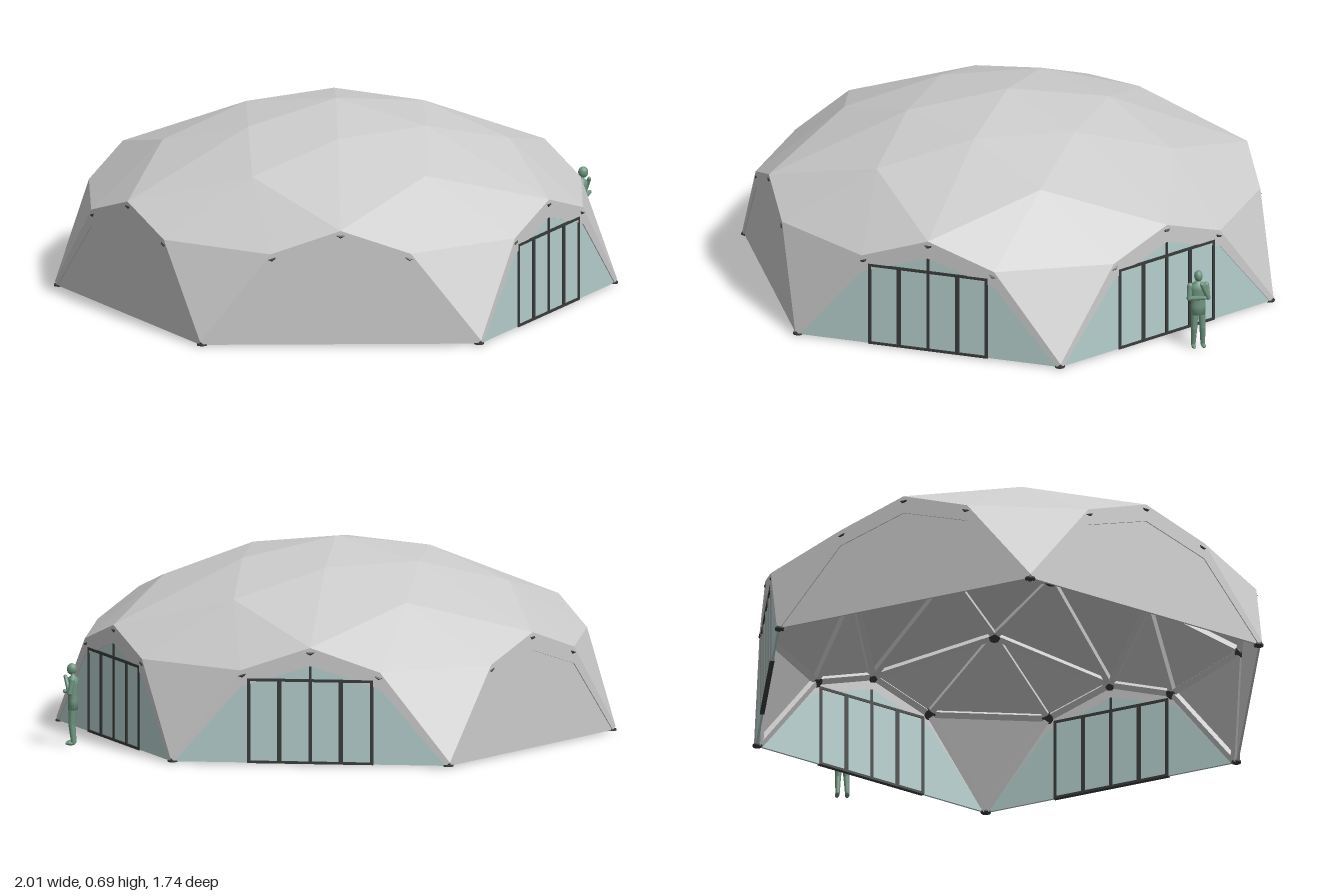
import * as THREE from 'three';

const mat = (color, extra = {}) => new THREE.MeshStandardMaterial({ color, ...extra });
const grey = mat(0xcccccc);
const shellMat = mat(0xcccccc, { side: THREE.DoubleSide, flatShading: true });
const glass = mat(0xb5cfcd);
const dark = mat(0x3a3c3c);
const green = mat(0x6f9580);

const CENTRE = new THREE.Vector3(0, -0.4, 0);
const INRADIUS = 0.866;

function add(parent, name, geometry, material, x = 0, y = 0, z = 0) {
  const mesh = new THREE.Mesh(geometry, material);
  mesh.name = name;
  mesh.position.set(x, y, z);
  parent.add(mesh);
  return mesh;
}

const polar = (r, deg, y) => {
  const a = THREE.MathUtils.degToRad(deg);
  return new THREE.Vector3(r * Math.cos(a), y, r * Math.sin(a));
};

// Facets and struts of the dome, one sixth at a time
function buildNet() {
  const tris = [], edges = [], nodes = [];
  const apex = new THREE.Vector3(0, 0.685, 0);
  const ringA = (k) => polar(0.365, 60 * k + 30, 0.628);
  const ringB = (k) => polar(0.617, 60 * k, 0.535);
  const crown = (k) => polar(INRADIUS, 60 * k + 30, 0.42);
  const corner = (k) => polar(1, 60 * k, 0.015);
  const haunch = (k, side) => {
    const p = corner(k).lerp(crown(side > 0 ? k : k - 1), 0.5);
    p.y = 0.335;
    return p;
  };
  nodes.push(apex);
  for (let k = 0; k < 6; k++) {
    const a0 = ringA(k - 1), a1 = ringA(k), b = ringB(k), e = corner(k);
    const c0 = crown(k - 1), c1 = crown(k), d0 = haunch(k, -1), d1 = haunch(k, 1);
    tris.push([apex, a0, a1], [a0, a1, b], [a0, b, c0], [a1, b, c1],
      [b, c0, d0], [b, c1, d1], [b, d0, d1], [d0, d1, e]);
    edges.push([apex, a1], [a0, a1], [a0, b], [a1, b], [a1, c1], [b, c0], [b, c1],
      [b, d0], [b, d1], [d0, d1], [c0, d0], [c1, d1], [d0, e], [d1, e]);
    nodes.push(a1, b, c1, d0, d1);
  }
  return { tris, edges, nodes };
}

function shellGeometry(tris) {
  const pts = [];
  for (const [a, b, c] of tris) {
    const n = b.clone().sub(a).cross(c.clone().sub(a));
    const outward = n.dot(a.clone().sub(CENTRE)) > 0;
    pts.push(...(outward ? [a, b, c] : [a, c, b]));
  }
  const geometry = new THREE.BufferGeometry().setFromPoints(pts);
  geometry.computeVertexNormals();
  return geometry;
}

const inward = (p, d) => p.clone().add(CENTRE.clone().sub(p).setLength(d));

// Beams and hubs lining the inside of the shell
function buildFrame({ edges, nodes }) {
  const frame = new THREE.Group();
  frame.name = 'strutFrame';
  for (const [p, q] of edges) {
    const a = inward(p, 0.022), b = inward(q, 0.022);
    const mid = a.clone().lerp(b, 0.5);
    const beam = add(frame, 'strut', new THREE.BoxGeometry(0.022, 0.022, a.distanceTo(b)), grey);
    beam.position.copy(mid);
    beam.up.copy(mid).sub(CENTRE).normalize();
    beam.lookAt(b);
  }
  for (const p of nodes) {
    const hub = add(frame, 'hub', new THREE.CylinderGeometry(0.02, 0.02, 0.026, 8), dark);
    hub.position.copy(inward(p, 0.024));
    hub.quaternion.setFromUnitVectors(new THREE.Vector3(0, 1, 0), p.clone().sub(CENTRE).normalize());
  }
  return frame;
}

// One side: arched fascia with a solid or glazed infill, facing local +z
const OUTER = [[-0.5, 0.015], [-0.25, 0.335], [0, 0.42], [0.25, 0.335], [0.5, 0.015]];
const INNER = [[-0.485, 0.003], [-0.25, 0.275], [0, 0.355], [0.25, 0.275], [0.485, 0.003]];
const extrude = (points, depth) => new THREE.ExtrudeGeometry(
  new THREE.Shape(points.map(([x, y]) => new THREE.Vector2(x, y))), { depth, bevelEnabled: false });

function buildSide(glazed) {
  const side = new THREE.Group();
  side.name = glazed ? 'glazedSide' : 'solidSide';
  add(side, 'fascia', extrude([...OUTER, ...[...INNER].reverse()], 0.012), grey, 0, 0, INRADIUS - 0.012);
  add(side, glazed ? 'glassPane' : 'wallPanel', extrude(INNER, 0.008), glazed ? glass : grey,
    0, 0, INRADIUS - 0.012);
  if (!glazed) return side;
  // Door frames
  const z = INRADIUS - 0.007;
  const bar = (name, w, h, x, y) => add(side, name, new THREE.BoxGeometry(w, h, 0.016), dark, x, y, z);
  for (const x of [-0.22, -0.11, 0, 0.11, 0.22]) {
    bar('mullion', Math.abs(x) === 0.11 ? 0.015 : 0.011, 0.302, x, 0.153);
  }
  bar('headerRail', 0.45, 0.01, 0, 0.302);
  bar('sillRail', 0.45, 0.009, 0, 0.006);
  bar('topMullion', 0.009, 0.05, 0, 0.328);
  return side;
}

// Standing person for scale, facing local +z, one hand at the chin
function buildPerson() {
  const person = new THREE.Group();
  person.name = 'scaleFigure';
  const ball = (name, r, x, y, z, sx = 1, sy = 1, sz = 1) =>
    add(person, name, new THREE.SphereGeometry(r, 14, 10), green, x, y, z).scale.set(sx, sy, sz);
  const limb = (name, a, b, r0, r1) => {
    const p = new THREE.Vector3(...a), q = new THREE.Vector3(...b);
    const dir = q.clone().sub(p);
    const mesh = add(person, name, new THREE.CylinderGeometry(r1, r0, dir.length(), 10), green);
    mesh.position.copy(p).lerp(q, 0.5);
    mesh.quaternion.setFromUnitVectors(new THREE.Vector3(0, 1, 0), dir.normalize());
    ball(name + 'Joint', r1, ...b);
  };
  const profile = [[0, 0.125], [0.027, 0.127], [0.027, 0.16], [0.024, 0.188], [0.03, 0.222],
    [0.028, 0.24], [0.011, 0.25], [0.009, 0.262]].map(([x, y]) => new THREE.Vector2(x, y));
  add(person, 'jacket', new THREE.LatheGeometry(profile, 18), green).scale.z = 0.68;
  ball('head', 0.016, 0, 0.273, 0.004, 0.95, 1.3, 1.15);
  for (const s of [-1, 1]) {
    limb('thigh', [s * 0.013, 0.14, 0], [s * 0.015, 0.075, 0.004], 0.014, 0.011);
    limb('shin', [s * 0.015, 0.075, 0.004], [s * 0.017, 0.01, -0.003], 0.011, 0.008);
    ball('shoe', 0.009, s * 0.018, 0.007, 0.008, 0.9, 0.75, 2);
    ball('shoulder', 0.0105, s * 0.029, 0.236, 0);
    limb('upperArm', [s * 0.029, 0.236, 0], [s * 0.034, 0.19, 0.008], 0.0105, 0.009);
  }
  limb('raisedForearm', [0.034, 0.19, 0.008], [0.008, 0.247, 0.026], 0.009, 0.007);
  limb('foldedForearm', [-0.034, 0.19, 0.008], [0.018, 0.196, 0.028], 0.009, 0.007);
  person.position.set(0.885, 0, -0.52);
  person.rotation.y = Math.PI / 2;
  return person;
}

export function createModel() {
  const model = new THREE.Group();
  model.name = 'domePavilion';
  const net = buildNet();
  add(model, 'domeShell', shellGeometry(net.tris), shellMat);
  model.add(buildFrame(net));

  const glazedSides = [0, 4, 5];
  for (let k = 0; k < 6; k++) {
    const side = buildSide(glazedSides.includes(k));
    side.rotation.y = Math.PI / 2 - (k + 0.5) * Math.PI / 3;
    model.add(side);
    // Anchor plate and post under each corner
    const p = polar(0.986, 60 * k, 0);
    add(model, 'footPlate', new THREE.CylinderGeometry(0.018, 0.018, 0.006, 12), dark, p.x, 0.003, p.z);
    add(model, 'footPost', new THREE.CylinderGeometry(0.009, 0.009, 0.022, 8), dark, p.x, 0.011, p.z);
  }
  model.add(buildPerson());
  return model;
}
